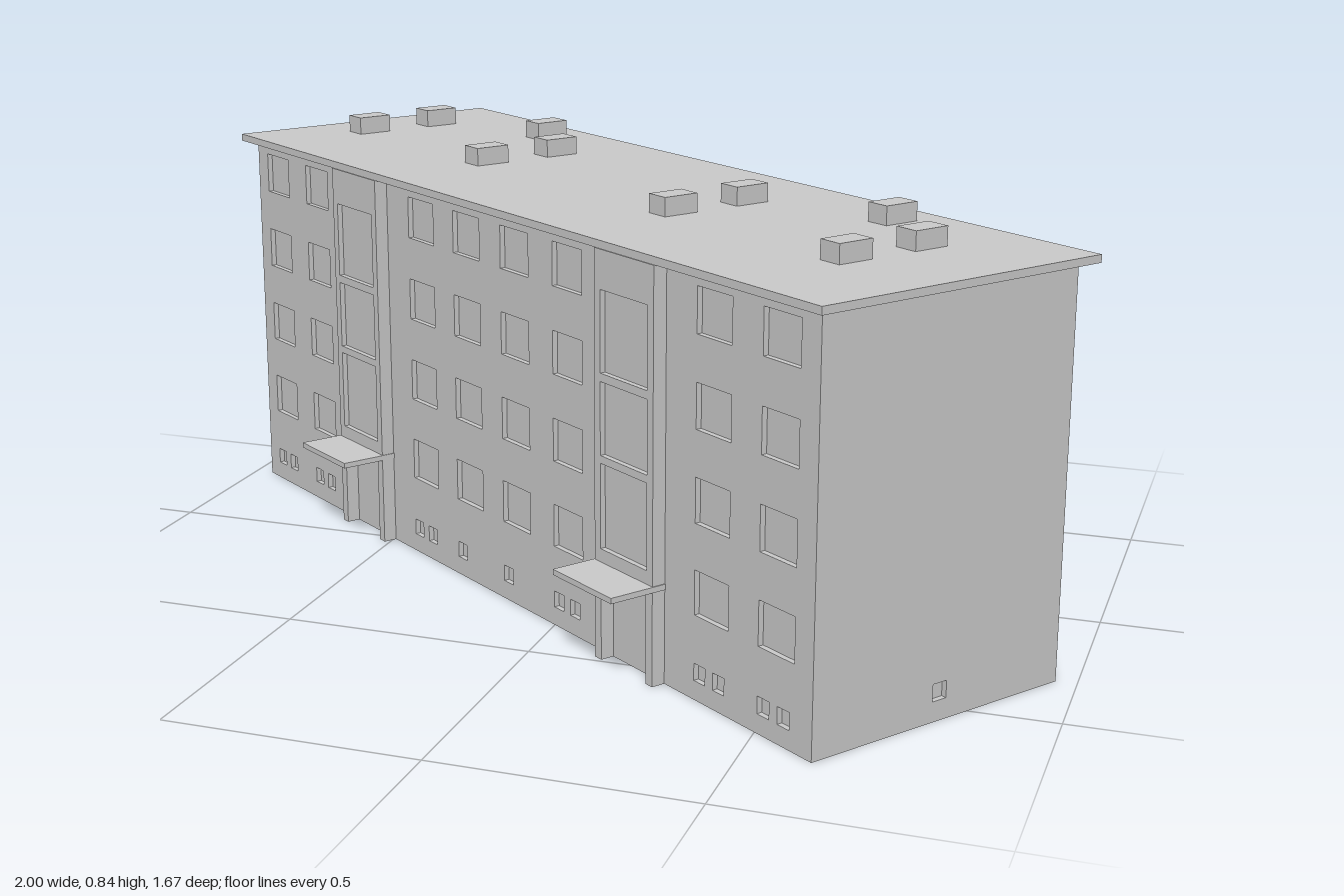
import * as THREE from 'three';

const mat = new THREE.MeshStandardMaterial({ color: 0xcccccc, flatShading: true });
const HL = 0.968, HW = 0.293; // half length and half width of the block
const H = 0.785;              // wall height
const SKIN = 0.011;           // depth of the window recesses
const WIN = { w: 0.096, h: 0.085 };
const FLOORS = [0.162, 0.334, 0.506, 0.677];

function add(parent, geometry, name) {
  const mesh = new THREE.Mesh(geometry, mat);
  mesh.name = name;
  parent.add(mesh);
  return mesh;
}

// box given by its limits on each axis
function box(parent, name, x0, x1, y0, y1, z0, z1) {
  const mesh = add(parent, new THREE.BoxGeometry(x1 - x0, y1 - y0, z1 - z0), name);
  mesh.position.set((x0 + x1) / 2, (y0 + y1) / 2, (z0 + z1) / 2);
  return mesh;
}

function rectangle(path, x, y, w, h) {
  path.moveTo(x, y);
  path.lineTo(x + w, y);
  path.lineTo(x + w, y + h);
  path.lineTo(x, y + h);
  path.closePath();
  return path;
}

// wall slab with rectangular openings [x, y, w, h]
function wall(parent, name, x0, x1, y0, y1, openings) {
  const shape = rectangle(new THREE.Shape(), x0, y0, x1 - x0, y1 - y0);
  for (const o of openings) shape.holes.push(rectangle(new THREE.Path(), ...o));
  return add(parent, new THREE.ExtrudeGeometry(shape, { depth: SKIN, bevelEnabled: false }), name);
}

export function createModel() {
  const model = new THREE.Group();
  model.name = 'apartmentBlock';
  const block = new THREE.Group();
  block.name = 'block';
  block.rotation.y = -0.6122; // the block stands diagonally
  model.add(block);

  // Inner core, seen as the window panes
  box(block, 'core', -HL + SKIN, HL - SKIN, 0, H, -HW + SKIN, HW - SKIN);

  // Front wall: windows per floor and cellar windows below
  const front = [];
  [-0.925, -0.748, -0.314, -0.143, 0.028, 0.205, 0.645, 0.823].forEach((x, i) => {
    for (const y of FLOORS) front.push([x, y, WIN.w, WIN.h]);
    front.push([x, 0.037, 0.032, 0.033]);
    if (i !== 3 && i !== 4) front.push([x + 0.054, 0.037, 0.032, 0.033]);
  });
  wall(block, 'frontWall', -HL, HL, 0, H, front).position.z = HW - SKIN;

  // Back wall, laid out mirrored because it is turned round
  const back = [];
  [0.929, 0.741, 0.39, 0.195, 0.016, -0.163, -0.577, -0.766].forEach((x, i) => {
    for (const y of FLOORS) back.push([-x, y, 0.1, WIN.h]);
    if (i === 4) return;
    for (const dx of [0, 0.054]) back.push([-x + dx, 0.039, 0.036, 0.033]);
  });
  for (const x of [0.585, 0.483, -0.32, -0.42]) {
    for (const y of FLOORS) back.push([-x, y + 0.045, 0.046, 0.04]);
  }
  const backWall = wall(block, 'backWall', -HL, HL, 0, H, back);
  backWall.rotation.y = Math.PI;
  backWall.position.z = -HW + SKIN;

  // End walls with one cellar window each
  for (const side of [-1, 1]) {
    const end = wall(block, side > 0 ? 'leftEndWall' : 'rightEndWall',
      -HW + SKIN, HW - SKIN, 0, H, [[-0.016, 0.039, 0.032, 0.033]]);
    end.rotation.y = side * Math.PI / 2;
    end.position.x = side * (HL - SKIN);
  }

  // Balconies under four window columns
  for (const x of [0.741, 0.39, -0.163, -0.577]) {
    for (const y of FLOORS) {
      box(block, 'balcony', x - 0.1, x, y - 0.061, y - 0.005, -HW - 0.071, -HW);
    }
  }

  // Stairwells over the open entrances, with canopies
  for (const x of [-0.577, 0.38]) {
    const stairs = new THREE.Group();
    stairs.name = 'stairwell';
    stairs.position.x = x;
    block.add(stairs);
    const W = 0.178, F = HW + 0.028;
    box(stairs, 'stairwellCore', 0, W, 0.185, H, HW, F - SKIN);
    const glazing = [[0.22, 0.165], [0.4, 0.14], [0.556, 0.155]].map(([y, h]) => [0.018, y, W - 0.036, h]);
    wall(stairs, 'stairwellFront', 0, W, 0.185, H, glazing).position.z = F - SKIN;
    for (const px of [0, W - 0.02]) box(stairs, 'entranceSideWall', px, px + 0.02, 0, 0.185, HW, F);
    box(stairs, 'canopy', -0.002, W + 0.002, 0.183, 0.194, HW, 0.414);
  }

  // Overhanging flat roof
  box(block, 'roof', -0.996, 0.996, H, 0.8, -0.319, 0.319);

  // Roof vents
  const vents = [[-0.859, -0.11], [-0.859, 0.066], [-0.562, -0.216], [-0.371, -0.11], [-0.371, 0.065],
    [0.275, -0.108], [0.275, 0.064], [0.576, -0.216], [0.767, -0.11], [0.767, 0.066]];
  for (const [x, z] of vents) {
    box(block, 'roofVent', x - 0.025, x + 0.025, 0.8, 0.837, z - 0.038, z + 0.038);
  }
  return model;
}
